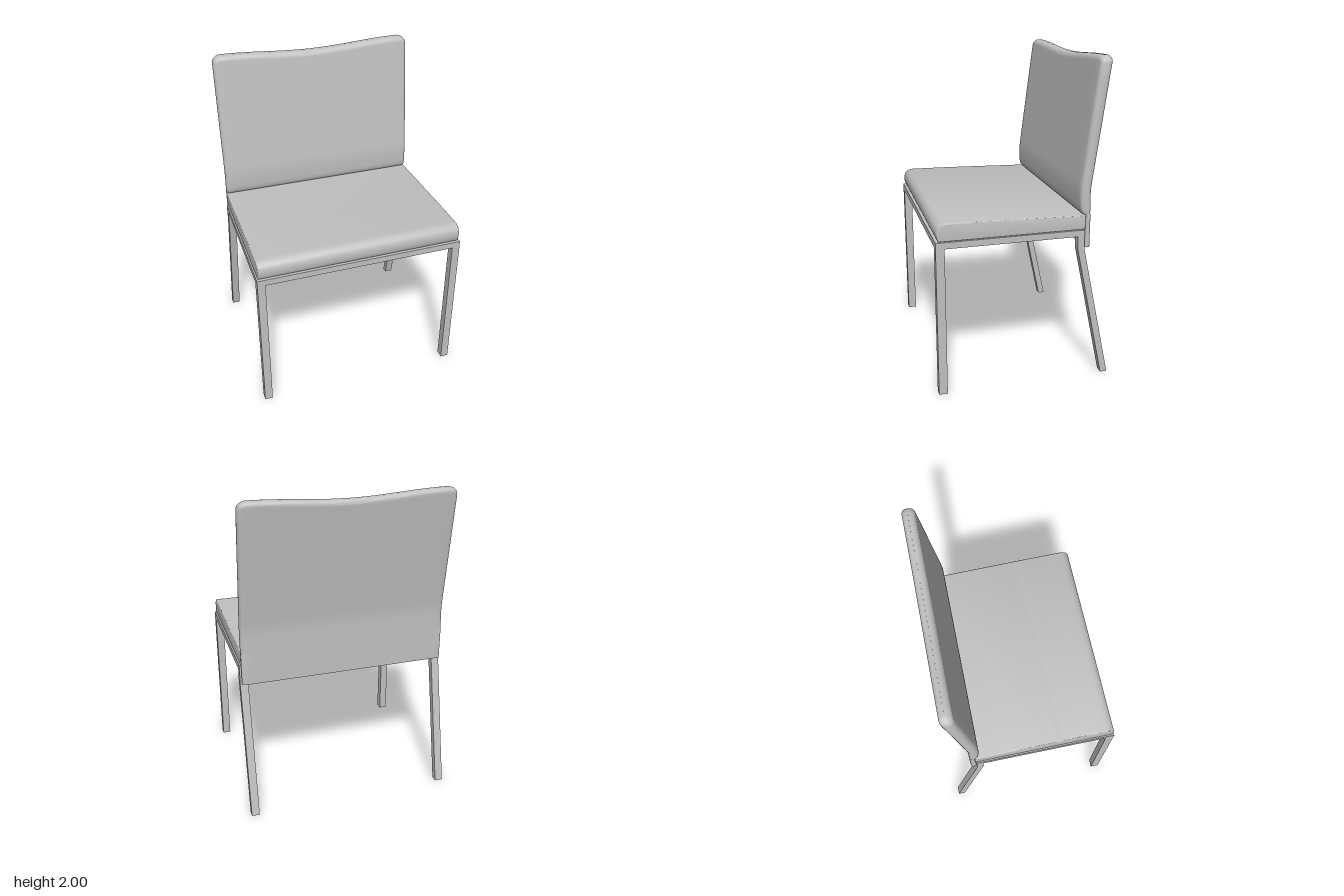
import * as THREE from 'three';
import { toCreasedNormals, mergeVertices } from 'three/addons/utils/BufferGeometryUtils.js';

const grey = new THREE.MeshStandardMaterial({ color: 0xc0c0c0 });
grey.name = 'grey';

function add(group, name, geometry) {
  const mesh = new THREE.Mesh(geometry, grey);
  mesh.name = name;
  group.add(mesh);
  return mesh;
}

// Side profile in (z, y), extruded across x and centred on x = 0
function extrudeSide(shape, width, bevel = 0) {
  const geo = new THREE.ExtrudeGeometry(shape, {
    depth: width - 2 * bevel, curveSegments: 10, bevelEnabled: bevel > 0,
    bevelSize: bevel, bevelThickness: bevel, bevelOffset: -bevel, bevelSegments: 3,
  });
  geo.translate(0, 0, -(width - 2 * bevel) / 2);
  geo.rotateY(-Math.PI / 2);
  return geo;
}

// Rounded rectangle in (x, z), counted evenly so rings can be joined
function ringPoints({ y, front, back, half, radius }) {
  const pts = [], steps = 20, arc = 5;
  const r = Math.min(radius, (front - back) / 2);
  const corner = (cx, cz, start) => {
    for (let i = 0; i <= arc; i++) {
      const a = start + (i / arc) * Math.PI / 2;
      pts.push([cx + r * Math.cos(a), cz + r * Math.sin(a)]);
    }
  };
  const side = (z, dir) => {
    for (let i = 1; i < steps; i++) pts.push([dir * (half - r) * (2 * i / steps - 1), z]);
  };
  corner(half - r, front - r, 0);
  side(front, -1);
  corner(-half + r, front - r, Math.PI / 2);
  corner(-half + r, back + r, Math.PI);
  side(back, 1);
  corner(half - r, back + r, Math.PI * 1.5);
  // the top edge sags gently in the middle
  const weight = THREE.MathUtils.clamp((y - 1.25) / 0.7, 0, 1);
  return pts.map(([x, z]) => {
    const sag = Math.abs(x) < 0.6 ? 0.0135 * (1 + Math.cos(Math.PI * x / 0.6)) : 0;
    return [x, y - weight * sag, z];
  });
}

function loft(rings) {
  const n = rings[0].length, index = [];
  for (let j = 0; j < rings.length - 1; j++) {
    for (let i = 0; i < n; i++) {
      const a = j * n + i, b = j * n + (i + 1) % n;
      index.push(a, a + n, b, b, a + n, b + n);
    }
  }
  const geo = new THREE.BufferGeometry();
  geo.setAttribute('position', new THREE.Float32BufferAttribute(rings.flat(2), 3));
  geo.setIndex(index);
  return toCreasedNormals(mergeVertices(geo, 1e-5), 0.6);
}

function backrestGeometry() {
  const half = 0.652;
  const rows = [];
  const row = (y, front, back, radius = 0.03, h = half) => rows.push({ y, front, back, half: h, radius });
  // thin lower panel
  row(0.86, -0.3849, -0.3851, 0);
  row(0.86, -0.365, -0.403, 0.018);
  row(1.066, -0.365, -0.403, 0.018);
  // rounded lower lip of the pad
  for (let i = 0; i <= 5; i++) {
    const a = (i / 5) * Math.PI / 2;
    row(1.066 + 0.055 * (1 - Math.cos(a)), -0.361 + 0.022 * Math.sin(a), -0.403, 0.025);
  }
  row(1.17, -0.337, -0.403);
  row(1.22, -0.337, -0.404);
  row(1.26, -0.341, -0.409);
  row(1.30, -0.346, -0.414);
  // leaning upper part with rounded top
  const frontAt = y => -0.346 - (y - 1.3) * 0.126;
  const backAt = y => -0.414 - (y - 1.3) * 0.138;
  for (const y of [1.5, 1.7, 1.85]) row(y, frontAt(y), backAt(y));
  for (let i = 0; i <= 8; i++) {
    const a = (i / 8) * Math.PI / 2, inset = 1 - Math.cos(a);
    const y = 1.95 + 0.05 * Math.sin(a);
    const pinch = 0.028 * Math.max(0, 1 - Math.sqrt(Math.max(0, 1 - ((y - 1.97) / 0.03) ** 2)));
    row(y, frontAt(y) - (y > 1.97 ? pinch : 0), backAt(y) + (y > 1.97 ? pinch : 0), 0.03, half - 0.05 * inset);
  }
  const mid = (frontAt(2) + backAt(2)) / 2;
  row(2, mid + 0.0001, mid - 0.0001, 0, half - 0.05);
  return loft(rows.map(ringPoints));
}

function seatShape() {
  const s = new THREE.Shape();
  s.moveTo(-0.37, 0.975);
  s.lineTo(0.525, 0.975);
  s.quadraticCurveTo(0.538, 0.99, 0.538, 1.025);
  s.bezierCurveTo(0.538, 1.062, 0.515, 1.086, 0.475, 1.086);
  s.quadraticCurveTo(0.3, 1.084, 0.1, 1.078);
  s.lineTo(-0.37, 1.064);
  s.closePath();
  return s;
}

// Front leg, side rail and splayed back leg in one profile
function sideFrameShape() {
  return new THREE.Shape([
    [0.545, 0], [0.545, 0.975], [-0.362, 0.975], [-0.362, 0.86], [-0.545, 0],
    [-0.502, 0], [-0.32, 0.86], [-0.32, 0.935], [0.492, 0.935], [0.492, 0],
  ].map(([z, y]) => new THREE.Vector2(z, y)));
}

export function createModel() {
  const group = new THREE.Group();
  group.name = 'chair';

  add(group, 'seatCushion', toCreasedNormals(extrudeSide(seatShape(), 1.304, 0.008), 0.6));
  add(group, 'backrest', backrestGeometry());

  // Metal frame
  for (const [name, s] of [['left', 1], ['right', -1]]) {
    add(group, name + 'LegFrame', extrudeSide(sideFrameShape(), 0.05)).position.x = s * 0.635;
  }
  add(group, 'frontRail', new THREE.BoxGeometry(1.22, 0.04, 0.053)).position.set(0, 0.955, 0.5185);
  add(group, 'backRail', new THREE.BoxGeometry(1.22, 0.04, 0.042)).position.set(0, 0.955, -0.341);
  return group;
}
